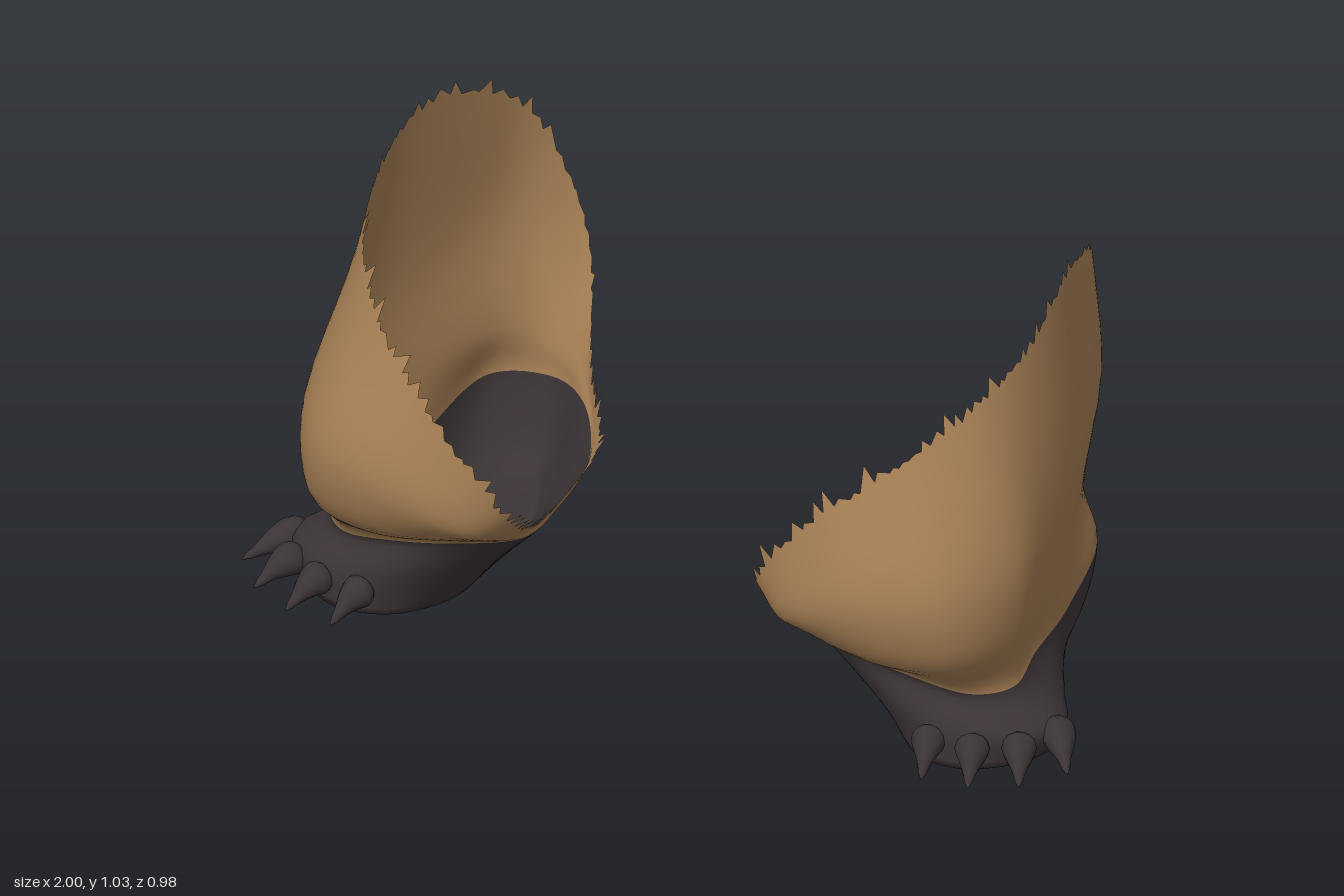
import * as THREE from 'three';

const fur = new THREE.MeshStandardMaterial({ color: 0xa37d53, side: THREE.DoubleSide });
fur.name = 'brown fur';
const skin = new THREE.MeshStandardMaterial({ color: 0x3b3335, side: THREE.DoubleSide });
skin.name = 'dark skin';

const COLS = 168;

// small seeded random
function seeded(seed) {
  return () => {
    seed = (seed * 16807) % 2147483647;
    return seed / 2147483647;
  };
}

// closed cross-section: 12 stations running outer side, front, inner side, back
function ring(...pts) {
  const curve = new THREE.CatmullRomCurve3(pts.map(p => new THREE.Vector3(...p)), true);
  return Array.from({ length: COLS }, (_, i) => curve.getPoint(i / COLS));
}

// skin closed rows of points into a surface; side = -1 mirrors it
function loft(rows, side) {
  const n = rows[0].length, pos = [], idx = [];
  for (const row of rows) for (const p of row) pos.push(p.x * side, p.y, p.z);
  const tri = (a, b, c) => (side > 0 ? idx.push(a, b, c) : idx.push(a, c, b));
  for (let j = 0; j < rows.length - 1; j++) {
    for (let i = 0; i < n; i++) {
      const a = j * n + i, b = j * n + (i + 1) % n;
      tri(a, a + n, b);
      tri(b, a + n, b + n);
    }
  }
  const g = new THREE.BufferGeometry();
  g.setAttribute('position', new THREE.Float32BufferAttribute(pos, 3));
  g.setIndex(idx);
  g.computeVertexNormals();
  return g;
}

const sole = ring(
  [0.735, 0.012, -0.07], [0.83, 0.012, 0.07], [0.90, 0.02, 0.19], [0.855, 0.018, 0.295],
  [0.745, 0.012, 0.355], [0.63, 0.01, 0.325], [0.55, 0.005, 0.2], [0.54, 0.005, 0.05],
  [0.535, 0.01, -0.1], [0.56, 0.035, -0.21], [0.60, 0.04, -0.28], [0.67, 0.035, -0.24]);
const footSide = ring(
  [0.78, 0.08, -0.09], [0.86, 0.08, 0.06], [0.925, 0.085, 0.19], [0.87, 0.09, 0.30],
  [0.74, 0.09, 0.355], [0.60, 0.09, 0.335], [0.47, 0.11, 0.23], [0.46, 0.105, 0.05],
  [0.47, 0.105, -0.11], [0.525, 0.11, -0.25], [0.60, 0.10, -0.325], [0.715, 0.10, -0.28]);
// where skin meets fur
const furLine = ring(
  [0.785, 0.19, -0.1], [0.81, 0.185, 0.1], [0.825, 0.17, 0.23], [0.76, 0.17, 0.30],
  [0.62, 0.20, 0.335], [0.45, 0.245, 0.35], [0.345, 0.25, 0.285], [0.372, 0.20, 0.05],
  [0.40, 0.215, -0.15], [0.49, 0.255, -0.295], [0.61, 0.25, -0.372], [0.735, 0.245, -0.325]);
const lowerThigh = ring(
  [0.79, 0.34, -0.1], [0.835, 0.34, 0.1], [0.855, 0.34, 0.27], [0.78, 0.31, 0.41],
  [0.62, 0.29, 0.455], [0.42, 0.29, 0.41], [0.338, 0.258, 0.29], [0.368, 0.21, 0.05],
  [0.397, 0.225, -0.15], [0.49, 0.27, -0.305], [0.61, 0.32, -0.378], [0.70, 0.37, -0.325]);
const thigh = ring(
  [0.81, 0.58, -0.1], [0.845, 0.53, 0.1], [0.855, 0.50, 0.28], [0.76, 0.48, 0.44],
  [0.58, 0.43, 0.505], [0.38, 0.335, 0.455], [0.332, 0.269, 0.29], [0.364, 0.22, 0.05],
  [0.392, 0.235, -0.15], [0.49, 0.285, -0.315], [0.60, 0.41, -0.41], [0.715, 0.62, -0.385]);
const rim = ring(
  [0.78, 0.995, -0.1], [0.79, 0.91, 0.1], [0.74, 0.83, 0.25], [0.63, 0.725, 0.375],
  [0.46, 0.585, 0.455], [0.315, 0.39, 0.43], [0.322, 0.28, 0.29], [0.355, 0.235, 0.05],
  [0.382, 0.25, -0.15], [0.49, 0.31, -0.325], [0.575, 0.57, -0.465], [0.69, 0.88, -0.395]);

// hollow leg: skin below the fur line, fur above, ragged open rim
function legShell(side) {
  const rings = [sole, footSide, furLine, lowerThigh, thigh, rim];
  const columns = rim.map((_, i) => new THREE.CatmullRomCurve3(rings.map(r => r[i])));
  const rowsPerRing = 5, steps = rowsPerRing * (rings.length - 1);
  const rows = [rim.map(() => new THREE.Vector3(0.69, 0.006, 0.03))];
  for (let j = 0; j <= steps; j++) rows.push(columns.map(c => c.getPoint(j / steps)));

  // uneven fur tips along the rim
  const rand = seeded(side > 0 ? 71 : 1409);
  const last = rows[rows.length - 1], before = rows[rows.length - 2];
  rows.push(last.map((p, i) => {
    const dir = p.clone().sub(before[i]).normalize();
    const len = i % 2 ? 0.012 + 0.045 * rand() ** 2 : 0.002 + 0.008 * rand();
    const lean = last[(i + 1) % COLS].clone().sub(p).multiplyScalar(rand() - 0.5);
    return p.clone().addScaledVector(dir, len).add(lean);
  }));

  const g = loft(rows, side);
  const split = (2 * rowsPerRing + 1) * COLS * 6;
  g.addGroup(0, split, 0);
  g.addGroup(split, g.index.count - split, 1);
  const mesh = new THREE.Mesh(g, [skin, fur]);
  mesh.name = 'furryLegAndFoot';
  return mesh;
}

// tapered toe ending in a claw
function toe(base, knuckle, tip, side) {
  const path = new THREE.CatmullRomCurve3([base, knuckle, tip].map(p => new THREE.Vector3(...p)));
  const radii = [0.001, 0.028, 0.036, 0.038, 0.036, 0.032, 0.026, 0.019, 0.013, 0.009, 0.001];
  const rows = radii.map((r, j) => {
    const t = j / (radii.length - 1), c = path.getPoint(t), d = path.getTangent(t);
    const across = new THREE.Vector3().crossVectors(d, new THREE.Vector3(0, 1, 0)).normalize();
    const up = new THREE.Vector3().crossVectors(across, d);
    return Array.from({ length: 14 }, (_, i) => {
      const a = (i / 14) * Math.PI * 2;
      const p = c.clone().addScaledVector(across, Math.cos(a) * r).addScaledVector(up, Math.sin(a) * r);
      p.y = Math.max(p.y, 0.012);
      return p;
    });
  });
  const mesh = new THREE.Mesh(loft(rows, side), skin);
  mesh.name = 'clawedToe';
  return mesh;
}

const TOES = [
  [[0.90, 0.08, 0.18], [0.945, 0.07, 0.24], [0.998, 0.04, 0.31]],
  [[0.865, 0.08, 0.28], [0.892, 0.068, 0.33], [0.925, 0.032, 0.395]],
  [[0.78, 0.08, 0.33], [0.80, 0.066, 0.375], [0.825, 0.025, 0.44]],
  [[0.68, 0.075, 0.335], [0.695, 0.063, 0.38], [0.715, 0.02, 0.445]],
];

export function createModel() {
  const model = new THREE.Group();
  model.name = 'furryLegs';
  for (const side of [1, -1]) {
    const leg = new THREE.Group();
    leg.name = side > 0 ? 'leftLeg' : 'rightLeg';
    leg.add(legShell(side));
    for (const [base, knuckle, tip] of TOES) leg.add(toe(base, knuckle, tip, side));
    model.add(leg);
  }
  // stand on the ground
  model.position.y = -0.004;
  return model;
}
